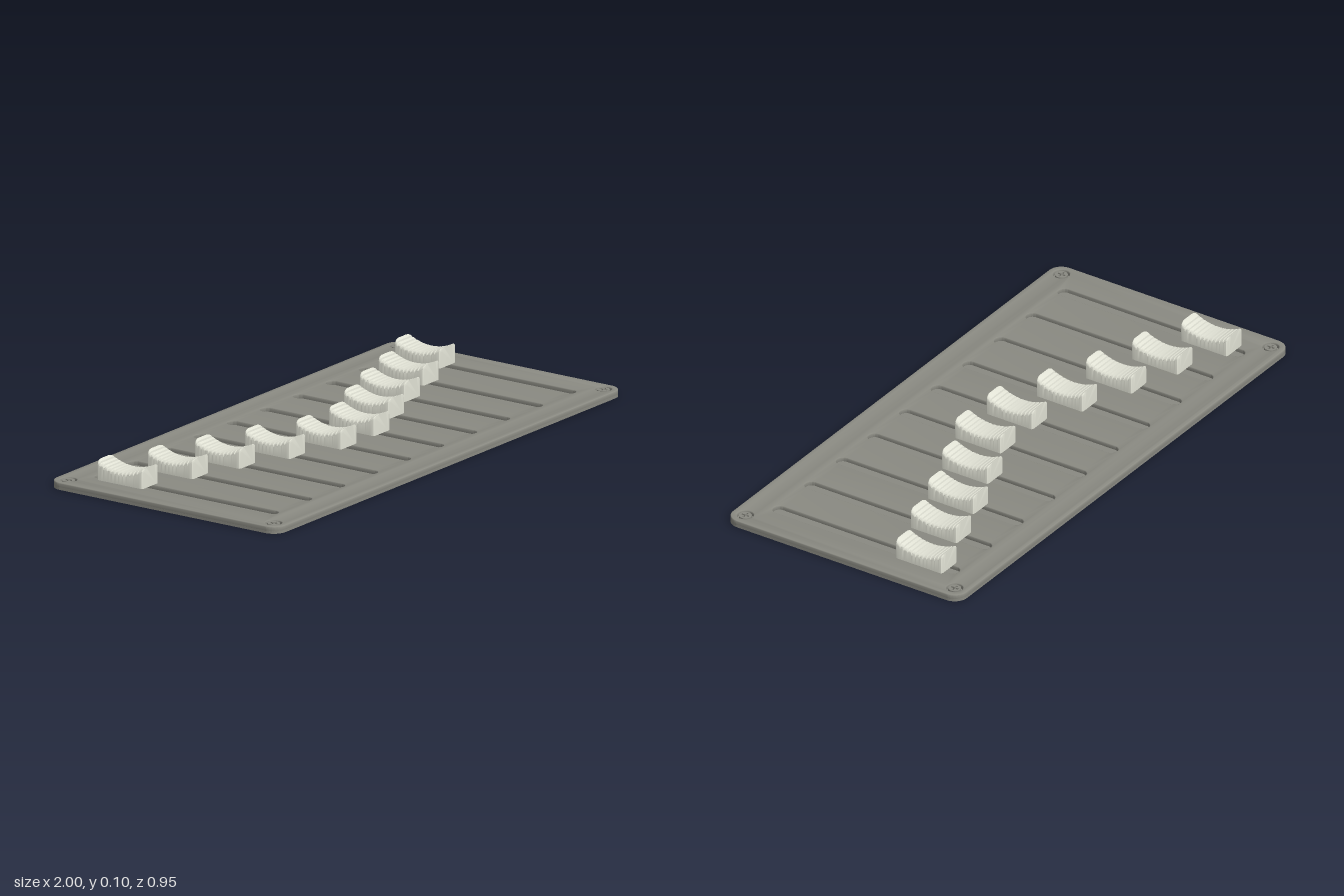
import * as THREE from 'three';
import { toCreasedNormals } from 'three/addons/utils/BufferGeometryUtils.js';

const plateMat = new THREE.MeshStandardMaterial({ color: 0x8a8a82 });
const knobMat = new THREE.MeshStandardMaterial({ color: 0xe2e3d6 });

const slotX = [0.095, 0.285, 0.475, 0.665, 0.857];
const knobZ = [0.028, -0.047, -0.118, -0.177, -0.247];
const screwX = 0.95, screwZ = 0.425;

function add(parent, name, geometry, material, x = 0, y = 0, z = 0) {
  const mesh = new THREE.Mesh(geometry, material);
  mesh.name = name;
  mesh.position.set(x, y, z);
  parent.add(mesh);
  return mesh;
}

// Rounded rectangle outline centred on (cx, cy)
function roundedRect(path, w, h, r, cx = 0, cy = 0) {
  const x = w / 2 - r, y = h / 2 - r;
  path.absarc(cx + x, cy + y, r, 0, Math.PI / 2);
  path.absarc(cx - x, cy + y, r, Math.PI / 2, Math.PI);
  path.absarc(cx - x, cy - y, r, Math.PI, Math.PI * 1.5);
  path.absarc(cx + x, cy - y, r, Math.PI * 1.5, Math.PI * 2);
  path.closePath();
  return path;
}

// Extrusion laid flat, rising from y = 0; shape y becomes -z
function flatExtrude(shape, depth, bevel = 0) {
  const geometry = new THREE.ExtrudeGeometry(shape, {
    depth: depth - 2 * bevel, bevelEnabled: bevel > 0, bevelThickness: bevel,
    bevelSize: bevel, bevelOffset: -bevel, bevelSegments: 3, curveSegments: 10,
  });
  geometry.translate(0, 0, bevel);
  geometry.rotateX(-Math.PI / 2);
  return toCreasedNormals(geometry, 0.6);
}

// Fader cap: rounded cross-sections lofted along z under a dished, ribbed top
function knobGeometry() {
  const L = 0.19, W = 0.094, r = 0.014, corner = 0.012, ribs = 11;
  const stations = [];
  const dish = z => 0.045 + 0.025 * (2 * z / L) ** 2;
  for (let i = 0; i <= 4; i++) {
    const a = i / 4 * Math.PI / 2;
    stations.push([-L / 2 + 0.006 * (1 - Math.cos(a)), W / 2 - corner * (1 - Math.sin(a)), 0]);
  }
  const span = L - 0.02, pitch = span / ribs;
  for (let i = 0; i < ribs; i++) {
    const z = -span / 2 + i * pitch;
    for (const [t, drop] of [[0.05, 0], [0.15, 0.005], [0.4, 0.005], [0.5, 0]]) {
      stations.push([z + t * pitch, W / 2, drop]);
    }
  }
  for (let i = 4; i >= 0; i--) stations.push([-stations[i][0], stations[i][1], 0]);

  const rings = stations.map(([z, half, drop]) => {
    const h = dish(z) - drop;
    const ring = [[half, 0, z]];
    for (let i = 0; i <= 5; i++) {
      const a = i / 5 * Math.PI / 2;
      ring.push([half - r + r * Math.cos(a), h - r + r * Math.sin(a), z]);
    }
    return ring.concat(ring.map(p => [-p[0], p[1], z]).reverse());
  });

  const pos = [];
  const tri = (a, b, c) => pos.push(...a, ...b, ...c);
  for (let i = 0; i < rings.length - 1; i++) {
    const A = rings[i], B = rings[i + 1];
    for (let j = 0; j < A.length; j++) {
      const k = (j + 1) % A.length;
      tri(A[j], A[k], B[j]);
      tri(A[k], B[k], B[j]);
    }
  }
  const first = rings[0], last = rings[rings.length - 1];
  for (let j = 1; j < first.length - 1; j++) {
    tri(first[0], first[j + 1], first[j]);
    tri(last[0], last[j], last[j + 1]);
  }
  const geometry = new THREE.BufferGeometry();
  geometry.setAttribute('position', new THREE.Float32BufferAttribute(pos, 3));
  return toCreasedNormals(geometry, 0.5);
}

// Countersunk screw head with a cross-shaped recess
function screwGeometry() {
  const shape = new THREE.Shape().absarc(0, 0, 0.022, 0, Math.PI * 2);
  const a = 0.0035, b = 0.015;
  const cross = [[a, b], [a, a], [b, a], [b, -a], [a, -a], [a, -b],
    [-a, -b], [-a, -a], [-b, -a], [-b, a], [-a, a], [-a, b]];
  shape.holes.push(new THREE.Path(cross.map(p => new THREE.Vector2(...p))));
  return flatExtrude(shape, 0.013);
}

export function createModel() {
  const model = new THREE.Group();
  model.name = 'sliderPanel';

  // Solid backing closes the bottoms of the slots
  add(model, 'backing', flatExtrude(roundedRect(new THREE.Shape(), 2, 0.95, 0.05), 0.01), plateMat);

  // Face plate with slots and screw holes
  const face = roundedRect(new THREE.Shape(), 2, 0.95, 0.05);
  for (const side of [-1, 1]) {
    for (const x of slotX) {
      face.holes.push(roundedRect(new THREE.Path(), 0.046, 0.75, 0.0229, side * x, 0.003));
    }
    for (const end of [-1, 1]) {
      face.holes.push(new THREE.Path().absarc(side * screwX, end * screwZ, 0.028, 0, Math.PI * 2));
    }
  }
  add(model, 'facePlate', flatExtrude(face, 0.021, 0.004), plateMat, 0, 0.004, 0);

  // Faders and screws, mirrored left and right
  const knob = knobGeometry();
  const stem = new THREE.BoxGeometry(0.024, 0.024, 0.08);
  const screw = screwGeometry();
  for (const side of [-1, 1]) {
    slotX.forEach((x, i) => {
      const fader = new THREE.Group();
      fader.name = 'fader';
      fader.position.set(side * x, 0, knobZ[i]);
      add(fader, 'faderCap', knob, knobMat, 0, 0.027, 0);
      add(fader, 'faderStem', stem, plateMat, 0, 0.02, 0);
      model.add(fader);
    });
    for (const end of [-1, 1]) {
      add(model, 'screw', screw, plateMat, side * screwX, 0.01, end * screwZ);
    }
  }
  return model;
}
